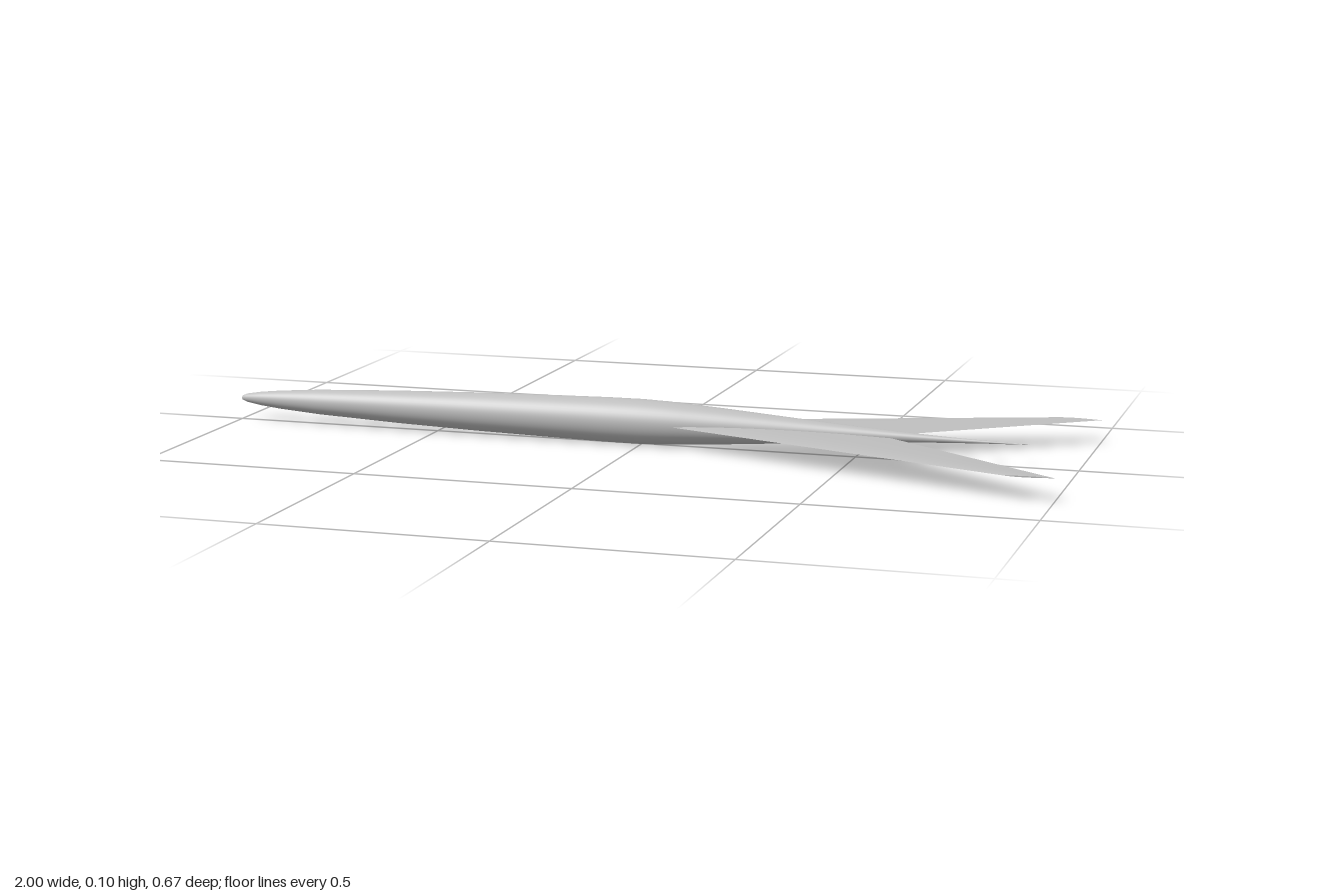
import * as THREE from 'three';
import { mergeGeometries } from 'three/addons/utils/BufferGeometryUtils.js';

const AXIS_Y = 0.052;
const lerp = THREE.MathUtils.lerp;

// Grid surface from a rule f(u, v) -> [x, y, z]
function surface(f, nu, nv, flip) {
  const pos = [], index = [];
  for (let j = 0; j <= nv; j++)
    for (let i = 0; i <= nu; i++) pos.push(...f(i / nu, j / nv));
  for (let j = 0; j < nv; j++) {
    for (let i = 0; i < nu; i++) {
      const a = j * (nu + 1) + i, b = a + 1, c = a + nu + 1, d = c + 1;
      if (flip) index.push(a, b, c, b, d, c);
      else index.push(a, c, b, b, c, d);
    }
  }
  const g = new THREE.BufferGeometry();
  g.setAttribute('position', new THREE.Float32BufferAttribute(pos, 3));
  g.setIndex(index);
  g.computeVertexNormals();
  return g;
}

// Swept wing with a thin lens section; side is +1 or -1 along z
function wingGeometry(side) {
  const root = { le: [0.005, 0.02], te: [0.585, 0.02], half: 0.006 };
  const tip = { le: [0.895, 0.333], te: [1.0, 0.328], half: 0.0015 };
  const point = (u, span, h) => {
    const x = lerp(lerp(root.le[0], root.te[0], u), lerp(tip.le[0], tip.te[0], u), span);
    const z = lerp(lerp(root.le[1], root.te[1], u), lerp(tip.le[1], tip.te[1], u), span);
    const lens = Math.sin(Math.PI * Math.pow(u, 0.8));
    return [x, AXIS_Y + h * lens * lerp(root.half, tip.half, span), z * side];
  };
  const mirrored = side < 0;
  return mergeGeometries([
    surface((u, v) => point(u, v, 1), 16, 6, mirrored),            // upper skin
    surface((u, v) => point(u, v, -1), 16, 6, !mirrored),          // lower skin
    surface((u, v) => point(u, 0, 2 * v - 1), 16, 1, mirrored),    // root rib
    surface((u, v) => point(u, 1, 2 * v - 1), 16, 1, !mirrored),   // tip rib
  ]);
}

export function createModel() {
  const group = new THREE.Group();
  group.name = 'aircraft';
  const grey = new THREE.MeshStandardMaterial({ color: 0xc0c0c0 });
  grey.name = 'light grey';

  // Fuselage: slender nose, widest at the middle, needle tail
  const profile = [
    [-1, 0], [-0.997, 0.005], [-0.985, 0.01], [-0.95, 0.016], [-0.9, 0.0215],
    [-0.8, 0.029], [-0.6, 0.038], [-0.4, 0.0445], [-0.2, 0.049], [-0.08, 0.0513],
    [0, 0.0515], [0.06, 0.0495], [0.1, 0.047], [0.2, 0.0405], [0.3, 0.033],
    [0.4, 0.0255], [0.5, 0.0185], [0.6, 0.012], [0.7, 0.007], [0.8, 0.003], [0.9, 0],
  ].map(([x, r]) => new THREE.Vector2(r, x));
  const body = new THREE.Mesh(new THREE.LatheGeometry(profile, 48), grey);
  body.name = 'fuselage';
  body.rotation.z = -Math.PI / 2;
  body.position.y = AXIS_Y;
  group.add(body);

  // Mirrored wings
  for (const side of [1, -1]) {
    const wing = new THREE.Mesh(wingGeometry(side), grey);
    wing.name = side > 0 ? 'frontWing' : 'backWing';
    group.add(wing);
  }
  return group;
}
